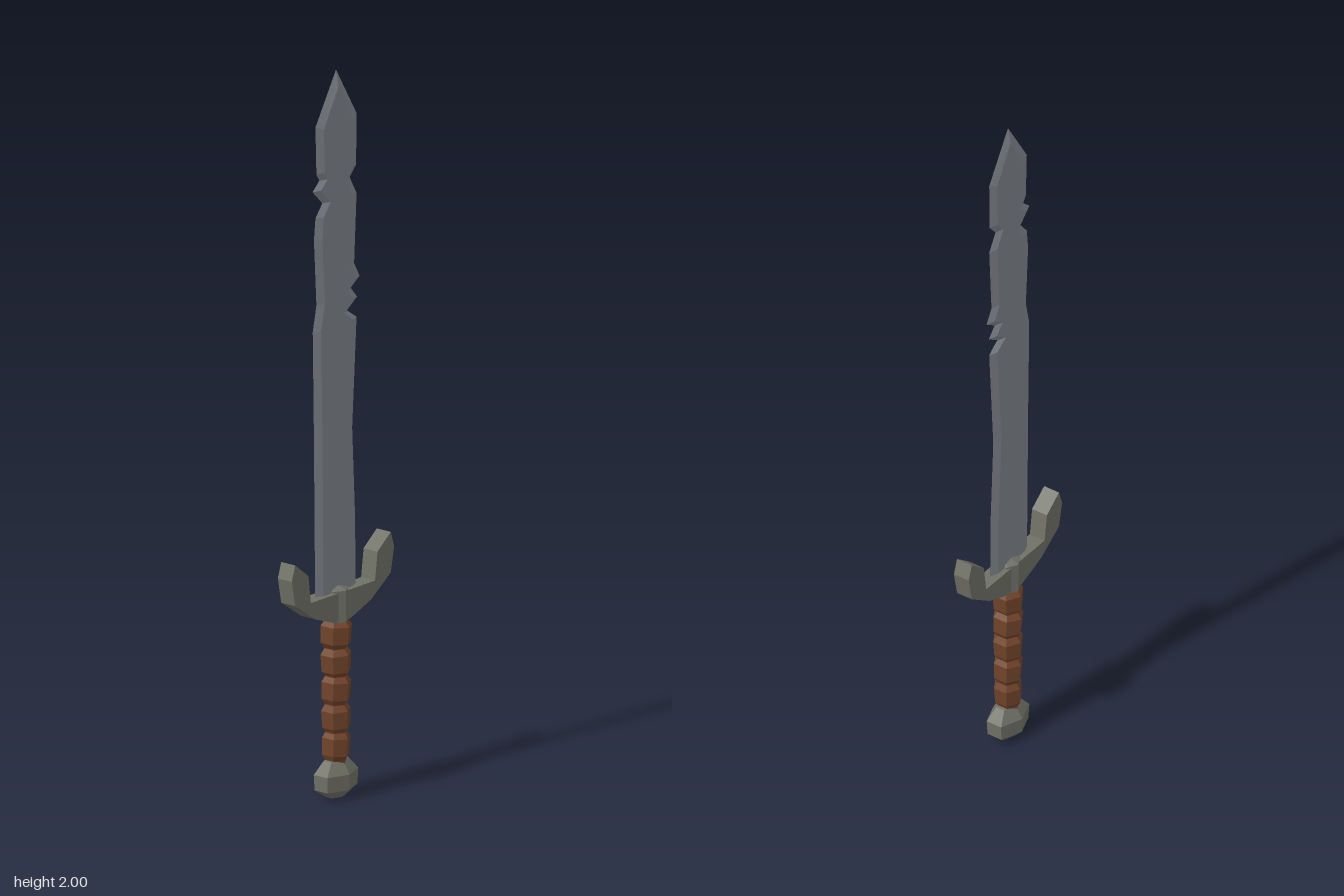
import * as THREE from 'three';

const material = (color) => new THREE.MeshStandardMaterial({ color, flatShading: true });

function addMesh(group, name, geometry, mat) {
  const mesh = new THREE.Mesh(geometry, mat);
  mesh.name = name;
  group.add(mesh);
  return mesh;
}

// Six-sided turned part with ridges facing front and back; profile runs upwards
function turned(profile) {
  return new THREE.LatheGeometry(profile.map(([r, y]) => new THREE.Vector2(r, y)), 6);
}

// Chipped blade: thin outer edge, bevelled to a flat face on both sides
function bladeGeometry() {
  const right = [
    [0.08, 0.54], [0.078, 0.75], [0.066, 1.0], [0.084, 1.3], [0.045, 1.327], [0.086, 1.355],
    [0.06, 1.385], [0.096, 1.41], [0.074, 1.45], [0.084, 1.64], [0.056, 1.69], [0.082, 1.72], [0.084, 1.86],
  ];
  const left = [
    [-0.084, 1.86], [-0.08, 1.73], [-0.068, 1.71], [-0.096, 1.685], [-0.056, 1.645], [-0.084, 1.61],
    [-0.09, 1.55], [-0.08, 1.37], [-0.095, 1.3], [-0.09, 1.0], [-0.085, 0.54],
  ];
  const outer = [...right, [0, 2], ...left];
  const inset = 0.024;
  const inner = outer.map(([x, y]) =>
    x === 0 ? [0, y - 0.045] : [x - Math.sign(x) * inset, y > 1.8 ? y - 0.01 : y]);
  const faces = THREE.ShapeUtils.triangulateShape(inner.map(([x, y]) => new THREE.Vector2(x, y)), []);

  const positions = [];
  for (const side of [1, -1]) {
    const z = 0.009 * side;
    const triangle = (a, b, c) => positions.push(...a, ...(side > 0 ? [...b, ...c] : [...c, ...b]));
    const flat = (i) => [...inner[i], z];
    const edge = (i) => [...outer[i], 0];
    for (const [a, b, c] of faces) triangle(flat(a), flat(b), flat(c));
    for (let i = 0; i < outer.length; i++) {
      const j = (i + 1) % outer.length;
      triangle(edge(i), edge(j), flat(j));
      triangle(edge(i), flat(j), flat(i));
    }
  }
  const geometry = new THREE.BufferGeometry();
  geometry.setAttribute('position', new THREE.Float32BufferAttribute(positions, 3));
  geometry.computeVertexNormals();
  return geometry;
}

// Crossguard outline: one half, mirrored to the other side
function guardGeometry() {
  const half = [
    [0.03, 0.488], [0.115, 0.52], [0.195, 0.575], [0.209, 0.645],
    [0.195, 0.687], [0.141, 0.645], [0.131, 0.568], [0.03, 0.568],
  ];
  const mirrored = half.map(([x, y]) => [-x, y]).reverse();
  const shape = new THREE.Shape([...half, ...mirrored].map(([x, y]) => new THREE.Vector2(x, y)));
  const depth = 0.048;
  return new THREE.ExtrudeGeometry(shape, { depth, bevelEnabled: false }).translate(0, 0, -depth / 2);
}

export function createModel() {
  const sword = new THREE.Group();
  sword.name = 'sword';
  const steel = material(0x82868d);
  const iron = material(0x707166);
  const leather = material(0x70432a);

  addMesh(sword, 'blade', bladeGeometry(), steel);

  // Guard with a ridged block in the middle
  addMesh(sword, 'crossguard', guardGeometry(), iron);
  addMesh(sword, 'guardBlock', turned([[0, 0.484], [0.034, 0.486], [0.034, 0.573], [0, 0.588]]), iron);

  // Grip: five bulging wraps, each tilted a little
  const grip = new THREE.Group();
  grip.name = 'grip';
  sword.add(grip);
  addMesh(grip, 'gripCore', turned([[0.03, 0.09], [0.03, 0.495]]), leather);
  for (let i = 0; i < 5; i++) {
    const r = 0.038 + i * 0.001;
    const wrap = addMesh(grip, 'gripWrap',
      turned([[0.03, -0.039], [r, -0.025], [r + 0.002, 0.022], [0.03, 0.039]]), leather);
    wrap.position.y = 0.143 + i * 0.077;
    wrap.rotation.z = (i % 2 ? 1 : -1) * 0.05;
  }

  // Pommel, wider than deep
  const pommel = addMesh(sword, 'pommel',
    turned([[0, 0], [0.022, 0.004], [0.045, 0.027], [0.047, 0.07], [0.026, 0.104], [0, 0.106]]), iron);
  pommel.scale.x = 1.55;

  return sword;
}
